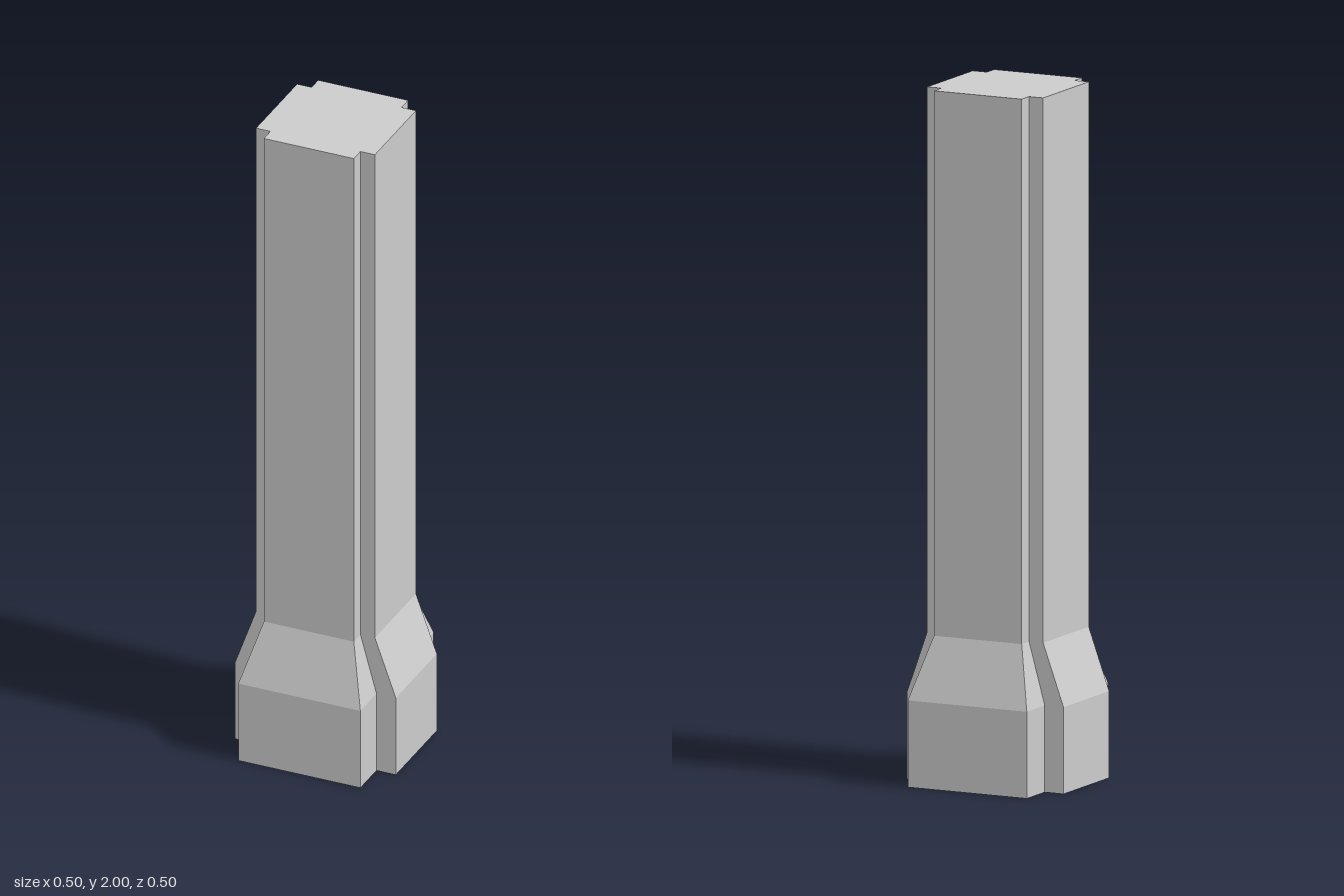
import * as THREE from 'three';

// Cross-shaped outline as [x, z] corners, counter-clockwise seen from above.
// w: half width of the front and back ribs, d: reach of all four ribs, c: half width of the side ribs
function crossSection(w, d, c = 0.14) {
  return [
    [w, d], [w, c], [d, c], [d, -c], [w, -c], [w, -d],
    [-w, -d], [-w, -c], [-d, -c], [-d, c], [-w, c], [-w, d],
  ];
}

// Skin between successive outlines, closed with flat caps
function loft(levels) {
  const positions = [];
  const rings = levels.map(({ y, outline }) => outline.map(([x, z]) => [x, y, z]));
  const tri = (a, b, c) => positions.push(...a, ...b, ...c);

  for (let i = 0; i < rings.length - 1; i++) {
    const low = rings[i], high = rings[i + 1];
    low.forEach((p, j) => {
      const k = (j + 1) % low.length;
      tri(p, low[k], high[k]);
      tri(p, high[k], high[j]);
    });
  }

  const cap = (ring, faceUp) => {
    const contour = ring.map(([x, , z]) => new THREE.Vector2(x, -z));
    for (const [a, b, c] of THREE.ShapeUtils.triangulateShape(contour, [])) {
      if (faceUp) tri(ring[a], ring[b], ring[c]);
      else tri(ring[a], ring[c], ring[b]);
    }
  };
  cap(rings[0], false);
  cap(rings[rings.length - 1], true);

  const geometry = new THREE.BufferGeometry();
  geometry.setAttribute('position', new THREE.Float32BufferAttribute(positions, 3));
  geometry.computeVertexNormals();
  return geometry;
}

export function createModel() {
  const group = new THREE.Group();
  group.name = 'pillar';

  const base = crossSection(0.19, 0.25);
  const shaft = crossSection(0.14, 0.185);

  // Wide foot, sloped shoulder and straight shaft in one closed skin
  const column = new THREE.Mesh(
    loft([
      { y: 0, outline: base },
      { y: 0.25, outline: base },
      { y: 0.43, outline: shaft },
      { y: 2, outline: shaft },
    ]),
    new THREE.MeshStandardMaterial({ color: 0xcccccc, flatShading: true }),
  );
  column.name = 'column';
  group.add(column);

  return group;
}
